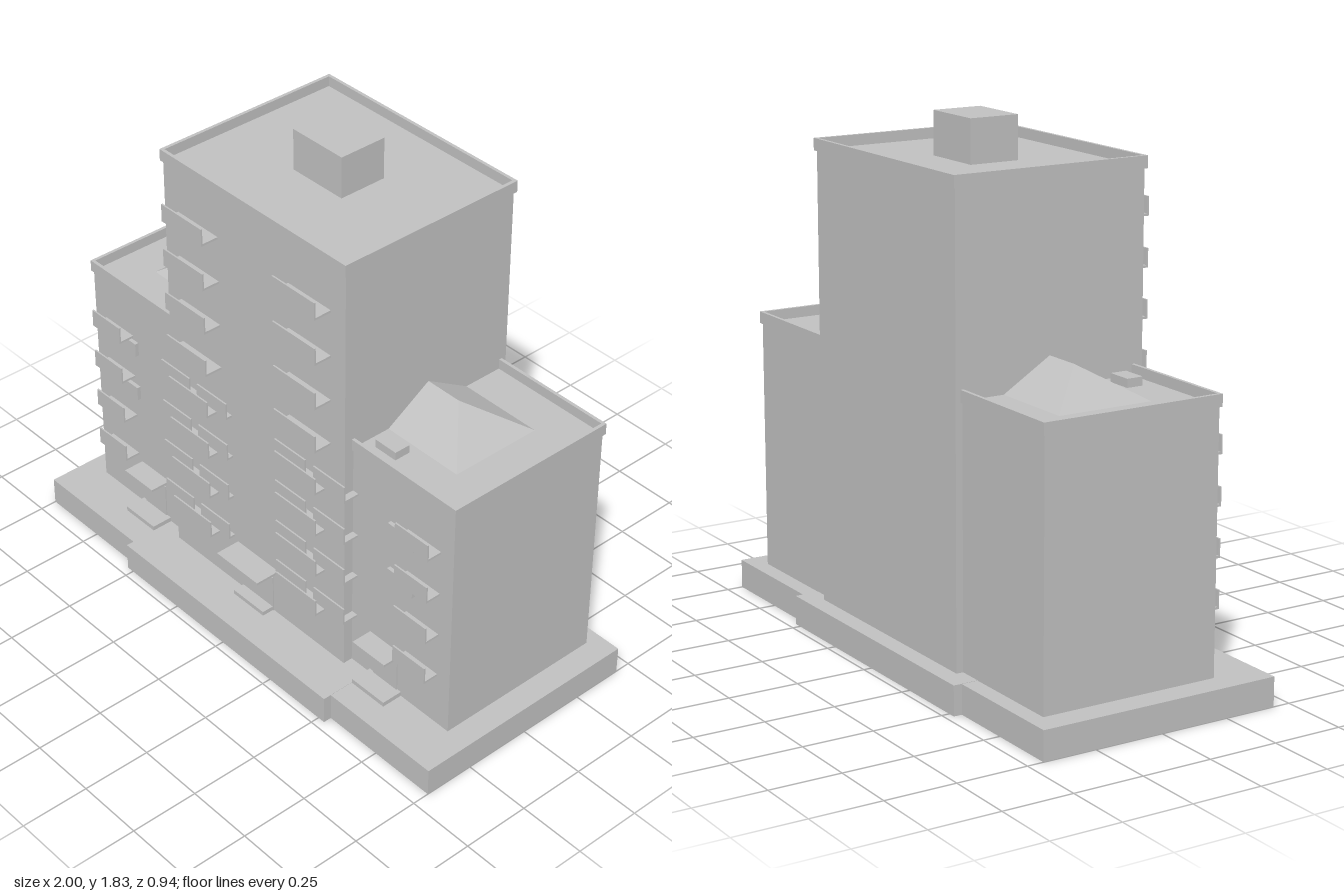
import * as THREE from 'three';

export function createModel() {
  const model = new THREE.Group();
  model.name = 'apartmentBlock';
  const concrete = new THREE.MeshStandardMaterial({ color: 0xc0c0c0 });
  concrete.name = 'concrete grey';

  const add = (name, geometry) => {
    const mesh = new THREE.Mesh(geometry, concrete);
    mesh.name = name;
    model.add(mesh);
    return mesh;
  };
  // Box given by its limits on each axis
  const block = (name, x0, x1, y0, y1, z0, z1) => {
    const g = new THREE.BoxGeometry(x1 - x0, y1 - y0, z1 - z0);
    g.translate((x0 + x1) / 2, (y0 + y1) / 2, (z0 + z1) / 2);
    return add(name, g);
  };
  // The same box on both sides of the building
  const pair = (name, x0, x1, ...rest) => {
    block(name + 'Left', x0, x1, ...rest);
    block(name + 'Right', -x1, -x0, ...rest);
  };
  // Open rectangular rim around a flat roof
  const parapet = (name, x, z0, z1, y0, y1, t) => {
    const rect = (P, i) => new P([
      new THREE.Vector2(-x + i, -z1 + i), new THREE.Vector2(x - i, -z1 + i),
      new THREE.Vector2(x - i, -z0 - i), new THREE.Vector2(-x + i, -z0 - i)]);
    const shape = rect(THREE.Shape, 0);
    shape.holes.push(rect(THREE.Path, t));
    const g = new THREE.ExtrudeGeometry(shape, { depth: y1 - y0, bevelEnabled: false });
    g.rotateX(-Math.PI / 2).translate(0, y0, 0);
    add(name, g);
  };

  // Stepped plinth
  block('plinth', -1, 1, 0, 0.103, -0.442, 0.438);
  block('plinthCentre', -0.528, 0.528, 0, 0.104, -0.472, 0.468);

  // Tower with its roof rim and lift housing
  block('tower', -0.44, 0.44, 0.1, 1.68, -0.408, 0.302);
  parapet('towerParapet', 0.447, -0.416, 0.31, 1.675, 1.717, 0.012);
  block('liftHousing', -0.115, 0.115, 1.68, 1.83, -0.15, 0.03);

  // Lower wings, running through behind the tower front
  block('wings', -0.908, 0.908, 0.1, 1.0, -0.383, 0.266);
  parapet('wingParapet', 0.915, -0.39, 0.273, 0.995, 1.037, 0.012);

  // Hipped rooflights rising beside the tower
  const hip = (name, s) => {
    const p = [[0.43, 1, 0.115], [0.755, 1, 0.115], [0.755, 1, -0.23], [0.43, 1, -0.23],
      [0.58, 1.106, -0.057], [0.43, 1.106, -0.057]];
    const faces = [[0, 1, 4], [0, 4, 5], [1, 2, 4], [2, 3, 5], [2, 5, 4]];
    const out = [];
    for (const f of faces) {
      for (const i of (s > 0 ? f : [...f].reverse())) out.push(p[i][0] * s, p[i][1], p[i][2]);
    }
    const g = new THREE.BufferGeometry();
    g.setAttribute('position', new THREE.Float32BufferAttribute(out, 3));
    g.computeVertexNormals();
    add(name, g);
  };
  hip('hipRoofLeft', 1);
  hip('hipRoofRight', -1);
  pair('roofHatch', 0.482, 0.575, 1.0, 1.03, 0.15, 0.21);

  // Balconies: a thin slab with an upright front panel
  const balcony = (name, x0, x1, y, z0, z1, h = 0.065) => {
    pair(name + 'Slab', x0, x1, y, y + 0.008, z0, z1);
    pair(name + 'Panel', x0, x1, y, y + h, z1 - 0.006, z1);
  };
  for (let i = 0; i < 8; i++) {
    const y = 0.307 + i * 0.171;
    balcony('towerBalcony', 0.172, 0.372, y, 0.295, 0.37);
    if (i < 4) {
      balcony('innerBalcony', 0.123, 0.275, y, 0.295, 0.328);
      balcony('sideBalcony', 0.315, 0.465, y, 0.26, 0.328);
      balcony('wingBalcony', 0.7, 0.85, y, 0.26, 0.325);
    }
  }

  // Small window boxes between the wing balconies
  for (const y of [0.572, 0.76]) {
    for (const x of [-0.79, -0.482, 0.62]) {
      block('windowBox', x, x + 0.118, y, y + 0.052, 0.26, 0.28);
    }
  }

  // Entrances: canopy, door plate and step
  block('mainCanopy', -0.106, 0.106, 0.285, 0.294, 0.295, 0.397);
  block('mainDoor', -0.08, 0.08, 0.1, 0.25, 0.3, 0.306);
  block('mainStep', -0.078, 0.078, 0.1, 0.12, 0.3, 0.35);
  pair('wingCanopy', 0.53, 0.683, 0.277, 0.286, 0.26, 0.345);
  pair('wingDoor', 0.55, 0.665, 0.1, 0.25, 0.262, 0.27);
  pair('wingStep', 0.53, 0.683, 0.1, 0.12, 0.262, 0.345);

  return model;
}
